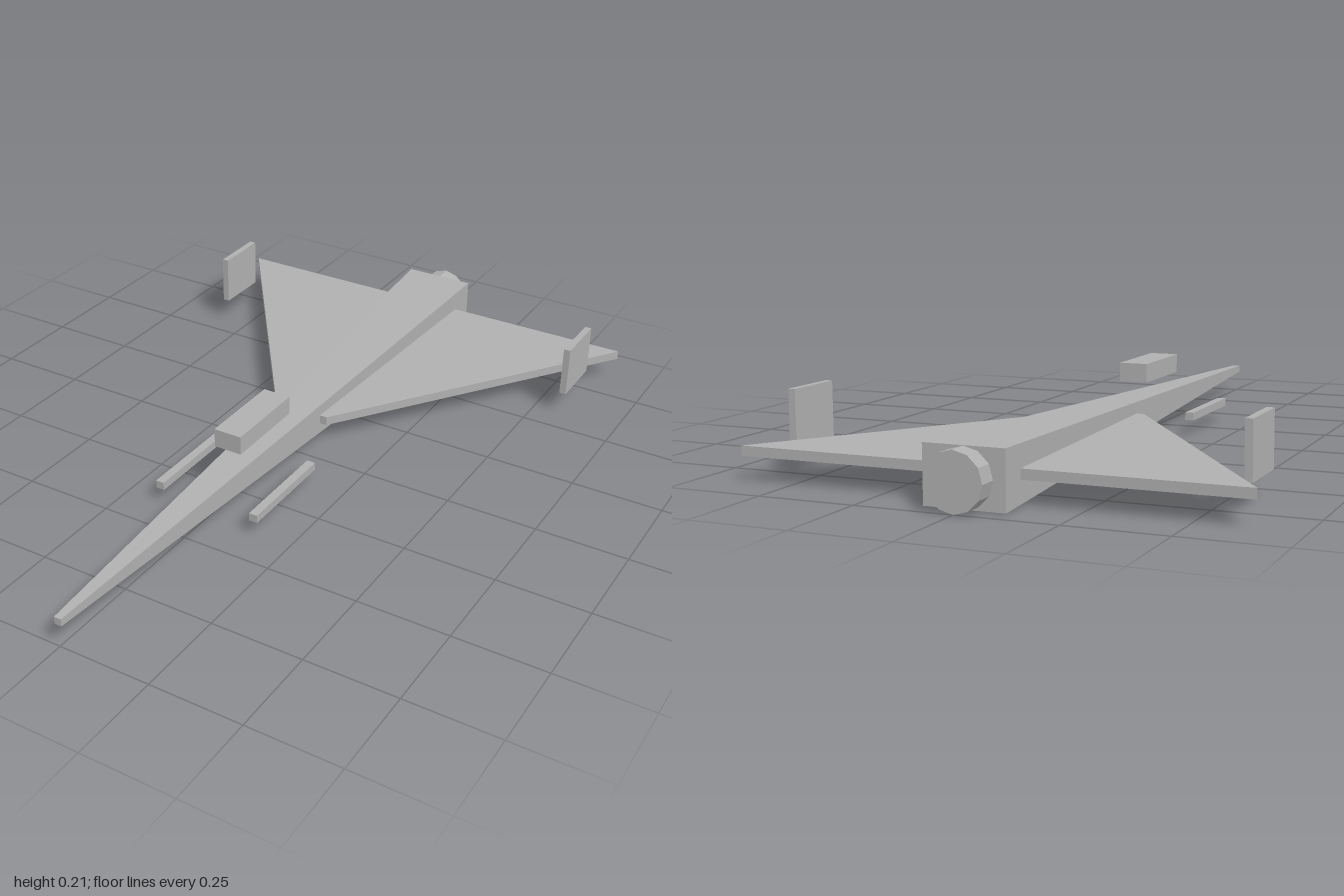
import * as THREE from 'three';

export function createModel() {
  const model = new THREE.Group();
  const grey = new THREE.MeshStandardMaterial({ color: 0xb0b0b0 });
  grey.name = 'hullGrey';

  const add = (name, geometry, x = 0, y = 0, z = 0) => {
    const mesh = new THREE.Mesh(geometry, grey);
    mesh.name = name;
    mesh.position.set(x, y, z);
    model.add(mesh);
    return mesh;
  };
  const midY = 0.0725;

  // Fuselage: a box tapering from the wide tail to a tiny blunt nose
  const hull = new THREE.BoxGeometry(2, 2, 1.95);
  const pos = hull.attributes.position;
  for (let i = 0; i < pos.count; i++) {
    const nose = pos.getZ(i) > 0;
    pos.setX(i, pos.getX(i) * (nose ? 0.01 : 0.102));
    pos.setY(i, pos.getY(i) * (nose ? 0.01 : 0.0715));
  }
  const flatHull = hull.toNonIndexed();
  flatHull.computeVertexNormals();
  add('fuselage', flatHull, 0, midY, 0.025);

  // Engine nozzle: twelve flat sides, sunk a little into the tail
  const nozzle = new THREE.CylinderGeometry(0.0715, 0.0715, 0.1, 12).toNonIndexed();
  nozzle.computeVertexNormals();
  nozzle.rotateX(Math.PI / 2);
  add('engineNozzle', nozzle, 0, 0.0715, -0.95);

  // Delta wing: one flat slab running through the fuselage
  const outline = new THREE.Shape([
    [0.082, -0.08], [0.64, -0.87], [-0.64, -0.87], [-0.082, -0.08],
  ].map(([x, z]) => new THREE.Vector2(x, -z)));
  const wing = new THREE.ExtrudeGeometry(outline, { depth: 0.025, bevelEnabled: false });
  wing.rotateX(-Math.PI / 2);
  add('deltaWing', wing, 0, 0.06, 0);

  // Canopy block floating above the nose
  add('canopy', new THREE.BoxGeometry(0.08, 0.052, 0.244), 0, 0.177, 0.171);

  // Mirrored wingtip fins and forward rails
  for (const [side, s] of [['left', 1], ['right', -1]]) {
    add(side + 'Fin', new THREE.BoxGeometry(0.019, 0.142, 0.163), s * 0.581, 0.136, -0.661);
    add(side + 'Rail', new THREE.BoxGeometry(0.024, 0.022, 0.29), s * 0.1445, 0.053, 0.255);
  }
  return model;
}
